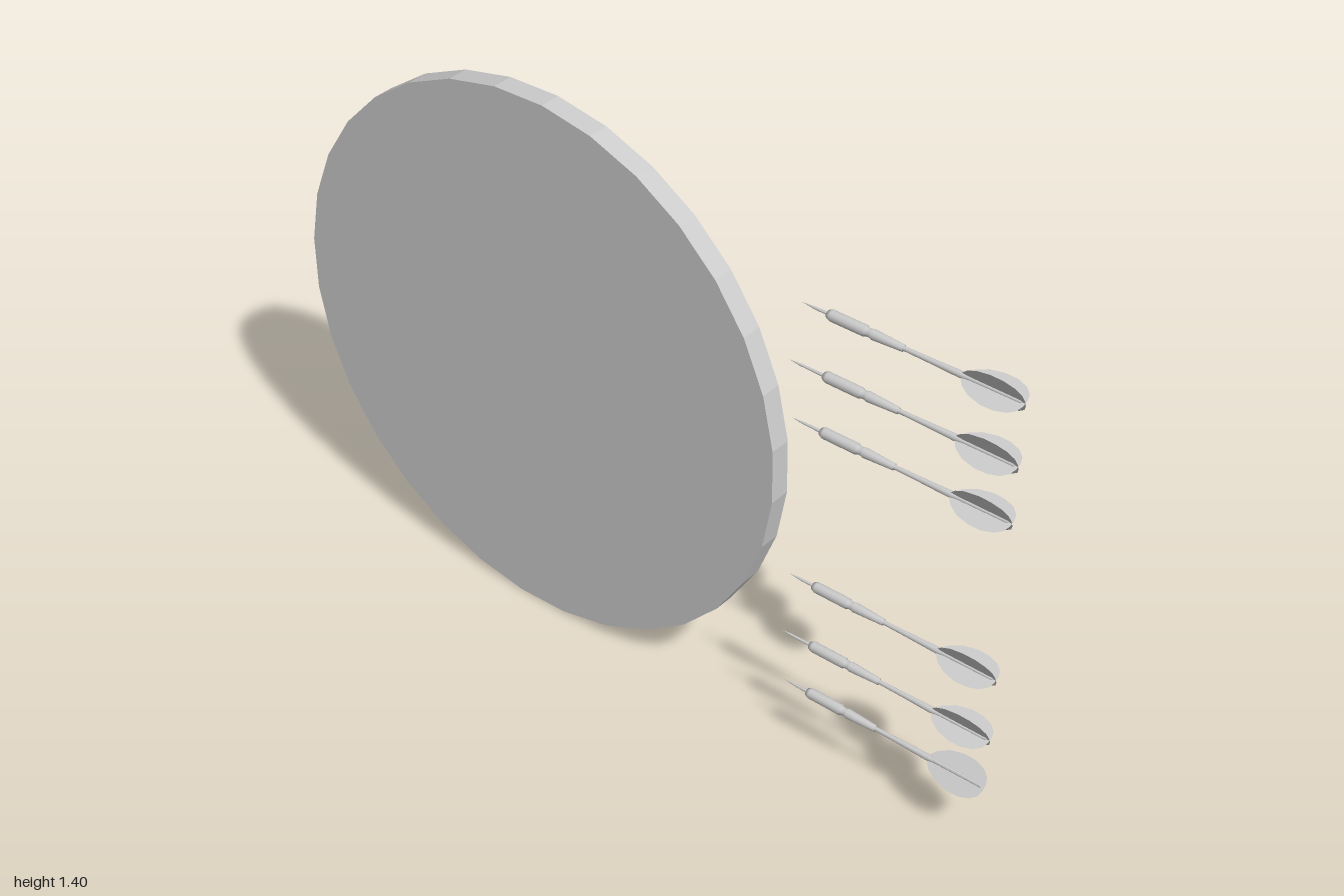
import * as THREE from 'three';

const rad = THREE.MathUtils.degToRad;
const grey = new THREE.MeshStandardMaterial({ color: 0xcccccc });
const facets = new THREE.MeshStandardMaterial({ color: 0xcccccc, flatShading: true });
const sheet = new THREE.MeshStandardMaterial({ color: 0xcccccc, side: THREE.DoubleSide });

function part(name, geometry, material) {
  const mesh = new THREE.Mesh(geometry, material);
  mesh.name = name;
  return mesh;
}

// Round section turned about z from [radius, z] pairs, rear end last
function turned(profile) {
  const points = profile.map(([r, z]) => new THREE.Vector2(r, z));
  return new THREE.LatheGeometry(points, 12).rotateX(Math.PI / 2);
}

// One thin leaf-shaped sheet lying in the yz plane, both sides of the shaft
function flightSheet() {
  const half = [[0.85, 0.005], [0.865, 0.022], [0.89, 0.037], [0.925, 0.045],
    [0.955, 0.044], [0.98, 0.036], [0.995, 0.023], [1.0, 0.008]];
  const outline = [...half, ...half.map(([z, r]) => [z, -r]).reverse()];
  const shape = new THREE.Shape(outline.map(([z, r]) => new THREE.Vector2(z, r)));
  return new THREE.ShapeGeometry(shape).rotateY(-Math.PI / 2);
}

function makeDart(tipZ, roll) {
  const dart = new THREE.Group();
  dart.add(
    part('point', turned([[0, tipZ], [0.003, tipZ + 0.03], [0.004, 0.53]]), grey),
    part('barrel', turned([[0, 0.522], [0.009, 0.522], [0.013, 0.532], [0.013, 0.615],
      [0.01, 0.62], [0.01, 0.63], [0.012, 0.635], [0.008, 0.71], [0, 0.712]]), grey),
    part('shaft', turned([[0.005, 0.705], [0.006, 0.77], [0.008, 0.85],
      [0.005, 0.87], [0.004, 0.99], [0, 0.995]]), grey),
  );
  // Two crossed sheets make the four flights
  for (const turn of [0, 90]) {
    const flight = part('flight', flightSheet(), sheet);
    flight.rotation.z = rad(roll + turn);
    dart.add(flight);
  }
  return dart;
}

export function createModel() {
  const model = new THREE.Group();

  // Upright disc, its axis along x
  const disc = new THREE.CylinderGeometry(0.7, 0.7, 0.053, 32);
  disc.rotateZ(Math.PI / 2).rotateX(rad(4.1));
  const board = part('board', disc, facets);
  board.position.set(0.023, 0.7, -0.3);
  model.add(board);

  // Darts: x, y, z of the tip, roll of the flights in degrees
  const darts = [
    [-0.004, 1.203, 0.455, 20], [-0.007, 1.05, 0.43, 20], [-0.008, 0.907, 0.445, 20],
    [-0.008, 0.487, 0.455, 20], [-0.009, 0.317, 0.44, 20], [-0.011, 0.18, 0.455, 43],
  ];
  darts.forEach(([x, y, tipZ, roll], i) => {
    const dart = makeDart(tipZ, roll);
    dart.name = `dart${i + 1}`;
    dart.position.set(x, y, 0);
    model.add(dart);
  });
  return model;
}
